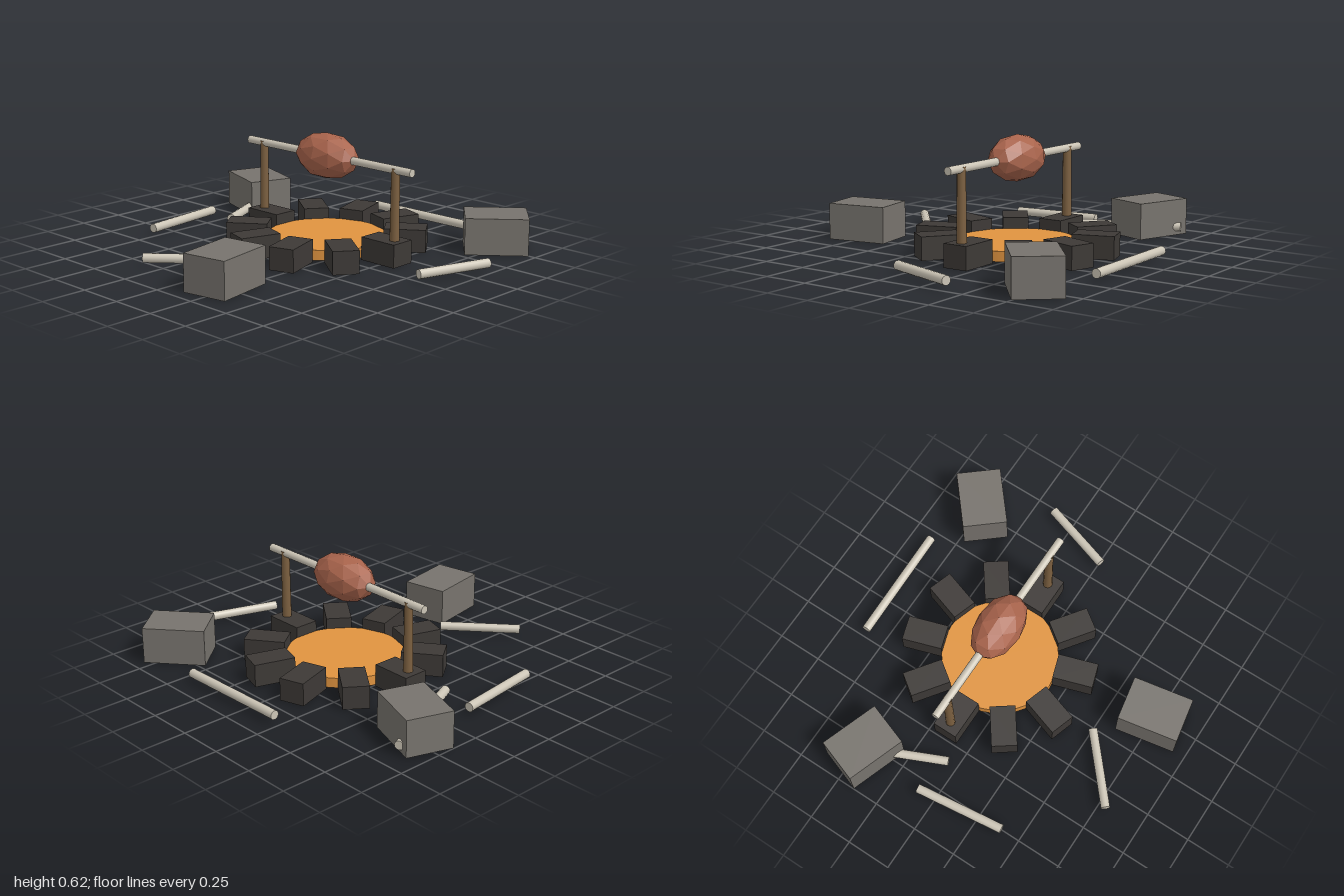
import * as THREE from 'three';

const mat = (color, flat = false) => new THREE.MeshStandardMaterial({ color, flatShading: flat });

export function createModel() {
  const model = new THREE.Group();
  model.name = 'campfire';
  const stone = mat(0x3d3936), seatMat = mat(0x77736d), pale = mat(0xccc5b6);
  const bark = mat(0x7c6040), glow = mat(0xe09440), roast = mat(0xa9644c, true);

  const add = (parent, name, geometry, material, x, y, z) => {
    const mesh = new THREE.Mesh(geometry, material);
    mesh.name = name;
    mesh.position.set(x, y, z);
    parent.add(mesh);
    return mesh;
  };

  // Fire pit and spit share one centre
  const pit = new THREE.Group();
  pit.name = 'firePit';
  pit.position.set(0.055, 0, -0.15);
  model.add(pit);

  // Ember bed
  add(pit, 'embers', new THREE.CylinderGeometry(0.325, 0.325, 0.055, 24), glow, 0, 0.038, 0);

  // Ring of ten stones
  const stoneGeo = new THREE.BoxGeometry(0.225, 0.125, 0.14);
  for (let i = 0; i < 10; i++) {
    const a = (i / 10) * Math.PI * 2;
    const s = add(pit, 'ringStone', stoneGeo, stone, Math.cos(a) * 0.428, 0.0625, -Math.sin(a) * 0.428);
    s.rotation.y = a;
  }

  // Upright posts
  for (const side of [-1, 1]) {
    add(pit, 'spitPost', new THREE.CylinderGeometry(0.023, 0.027, 0.51, 12), bark, side * 0.483, 0.255, 0);
  }

  // Spit rod and the roast on it
  add(pit, 'spitRod', new THREE.CylinderGeometry(0.022, 0.022, 1.19, 12), pale, 0, 0.5, 0).rotation.z = Math.PI / 2;
  const meat = new THREE.IcosahedronGeometry(1, 1).scale(0.2, 0.125, 0.125);
  add(pit, 'roast', meat, roast, 0, 0.5, 0);

  // Block seats: centre x, z and the direction of the long side
  const seatGeo = new THREE.BoxGeometry(0.337, 0.2, 0.25);
  const seats = [
    [0.75, -0.733, 0.255, -0.215],
    [-0.797, -0.462, 0.32, 0.112],
    [0.215, 0.744, 0.06, 0.33],
  ];
  for (const [x, z, dx, dz] of seats) {
    add(model, 'blockSeat', seatGeo, seatMat, x, 0.1, z).rotation.y = Math.atan2(-dz, dx);
  }

  // Loose poles lying around the fire: start x, z and end x, z
  const poles = [
    [-0.22, -0.864, 0.44, -0.877],
    [0.97, -0.385, 0.84, 0.015],
    [-0.02, 0.505, -0.355, 0.795],
    [-0.815, -0.103, -0.755, 0.395],
    [-0.86, -0.63, -0.6, -0.05],
  ];
  const up = new THREE.Vector3(0, 1, 0);
  for (const [x0, z0, x1, z1] of poles) {
    const dir = new THREE.Vector3(x1 - x0, 0, z1 - z0);
    const geo = new THREE.CylinderGeometry(0.025, 0.025, dir.length(), 12);
    const pole = add(model, 'loosePole', geo, pale, (x0 + x1) / 2, 0.045, (z0 + z1) / 2);
    pole.quaternion.setFromUnitVectors(up, dir.normalize());
  }

  return model;
}
